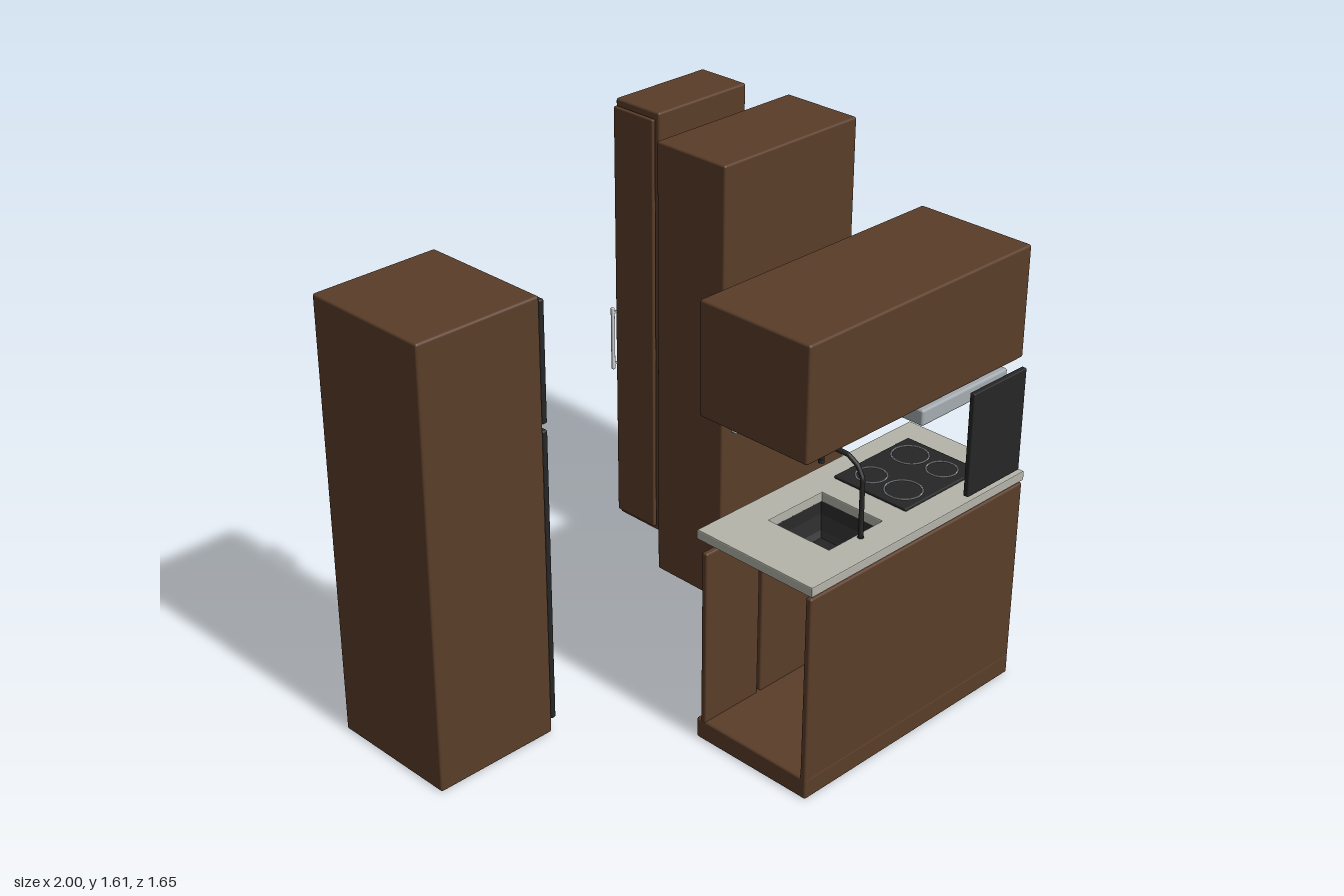
import * as THREE from 'three';
import { RoundedBoxGeometry } from 'three/addons/geometries/RoundedBoxGeometry.js';

const mat = (color) => new THREE.MeshStandardMaterial({ color });
const wood = mat(0x5a3d29), dark = mat(0x262626), navy = mat(0x1e2533);
const steel = mat(0xa4abb0), glass = mat(0xc0c8cc), stone = mat(0xb4b4aa), metal = mat(0xcccccc);

export function createModel() {
  const root = new THREE.Group();

  const group = (name) => {
    const g = new THREE.Group();
    g.name = name;
    root.add(g);
    return g;
  };
  const add = (parent, name, geometry, material) => {
    const m = new THREE.Mesh(geometry, material);
    m.name = name;
    parent.add(m);
    return m;
  };
  // box from its limits, with a softened edge
  const box = (parent, name, material, x0, x1, y0, y1, z0, z1, r = 0.008) => {
    const w = x1 - x0, h = y1 - y0, d = z1 - z0;
    const radius = Math.min(r, Math.min(w, h, d) * 0.3);
    const m = add(parent, name, new RoundedBoxGeometry(w, h, d, 2, radius), material);
    m.position.set((x0 + x1) / 2, (y0 + y1) / 2, (z0 + z1) / 2);
    return m;
  };

  // Refrigerator with doors facing +x
  const fridge = group('refrigerator');
  box(fridge, 'fridgeCabinet', wood, -1, -0.548, 0.005, 1.525, -0.445, 0.025);
  for (const [y0, y1, h] of [[0.045, 1.078, 0.845], [1.1, 1.505, 1.27]]) {
    box(fridge, 'fridgeDoor', dark, -0.542, -0.523, y0, y1, -0.437, 0.017);
    box(fridge, 'fridgeHandle', metal, -0.519, -0.498, h, h + 0.18, -0.32, -0.304);
    for (const y of [h + 0.03, h + 0.15])
      box(fridge, 'handleMount', metal, -0.526, -0.51, y - 0.006, y + 0.006, -0.318, -0.306);
  }

  // Tall oven column
  const column = group('ovenColumn');
  box(column, 'columnCabinet', wood, 0.378, 1, 0.005, 1.612, -0.445, -0.138);
  box(column, 'ovenRear', dark, 0.42, 0.91, 0.58, 0.92, -0.448, -0.43, 0.002);
  box(column, 'ovenGlass', glass, 0.42, 0.915, 0.65, 0.92, -0.14, -0.113);
  box(column, 'ovenControlPanel', navy, 0.43, 0.907, 0.935, 0.98, -0.14, -0.117);
  box(column, 'drawerFront', wood, 0.372, 0.958, 0.05, 0.335, -0.138, -0.125);
  box(column, 'drawerHandle', metal, 0.53, 0.81, 0.269, 0.283, -0.126, -0.106);

  // Narrow pantry with its door facing -x
  const pantry = group('pantry');
  box(pantry, 'pantryCabinet', wood, 0.557, 0.972, 0.005, 1.612, -0.825, -0.617);
  box(pantry, 'pantryDoor', wood, 0.536, 0.552, 0.03, 1.59, -0.815, -0.628);
  box(pantry, 'pantryHandle', metal, 0.514, 0.526, 0.61, 0.85, -0.82, -0.808);
  for (const y of [0.63, 0.83])
    box(pantry, 'handleMount', metal, 0.52, 0.54, y - 0.005, y + 0.005, -0.818, -0.81);

  // Counter base: front panel, plinth and four doors on the rear side
  const base = group('counterBase');
  box(base, 'frontPanel', wood, -0.24, 0.742, 0.005, 0.722, 0.802, 0.825);
  box(base, 'plinth', wood, -0.24, 0.742, 0.005, 0.078, 0.362, 0.826);
  for (let i = 0; i < 4; i++) {
    const x0 = -0.24 + i * 0.2485, x1 = x0 + 0.2365;
    box(base, 'baseDoor', wood, x0, x1, 0.07, 0.692, 0.38, 0.402);
    box(base, 'baseDoorHandle', metal, x0 + 0.02, x1 - 0.02, 0.624, 0.638, 0.362, 0.374);
    for (const x of [x0 + 0.04, x1 - 0.04])
      box(base, 'handleMount', metal, x - 0.005, x + 0.005, 0.626, 0.636, 0.37, 0.383);
  }
  box(base, 'appliancePanel', navy, -0.2, -0.04, 0.52, 0.602, 0.367, 0.383);
  box(base, 'applianceWindow', glass, -0.2, -0.04, 0.19, 0.287, 0.367, 0.383);

  // Worktop with a cut-out for the sink
  const counter = group('worktop');
  const shape = new THREE.Shape();
  shape.moveTo(-0.238, 0.364).lineTo(0.74, 0.364).lineTo(0.74, 0.824).lineTo(-0.238, 0.824).closePath();
  const hole = new THREE.Path();
  hole.moveTo(-0.05, 0.47).lineTo(-0.05, 0.72).lineTo(0.196, 0.72).lineTo(0.196, 0.47).closePath();
  shape.holes.push(hole);
  const slab = add(counter, 'worktopSlab', new THREE.ExtrudeGeometry(shape, {
    depth: 0.026, bevelThickness: 0.004, bevelSize: 0.003, bevelSegments: 2,
  }), stone);
  slab.rotation.x = Math.PI / 2;
  slab.position.y = 0.76;

  // Tapered four-sided sink bowl
  const profile = [[0, 0.626], [0.7, 0.626], [0.79, 0.645], [0.92, 0.69], [1, 0.758]]
    .map(([r, y]) => new THREE.Vector2(r * Math.SQRT2, y));
  const bowl = add(counter, 'sinkBowl', new THREE.LatheGeometry(profile, 4, Math.PI / 4),
    new THREE.MeshStandardMaterial({ color: 0x262626, flatShading: true, side: THREE.DoubleSide }));
  bowl.scale.set(0.125, 1, 0.13);
  bowl.position.set(0.073, 0, 0.595);
  const drain = add(counter, 'sinkDrain', new THREE.CylinderGeometry(0.02, 0.02, 0.004, 20), steel);
  drain.position.set(0.073, 0.629, 0.595);

  // Faucet
  const path = new THREE.CurvePath();
  const pts = [[0.755, 0.736], [0.965, 0.734], [1.0, 0.715], [1.023, 0.675], [1.023, 0.615], [1.0, 0.575], [0.955, 0.57]]
    .map(([y, z]) => new THREE.Vector3(0.073, y, z));
  for (let i = 1; i < pts.length; i++) path.add(new THREE.LineCurve3(pts[i - 1], pts[i]));
  add(counter, 'faucetSpout', new THREE.TubeGeometry(path, 48, 0.008, 12), dark);
  for (const p of [pts[0], pts[6]]) {
    const end = add(counter, 'faucetCollar', new THREE.CylinderGeometry(0.01, 0.01, 0.012, 16), dark);
    end.position.copy(p).y += 0.006;
  }

  // Hob with heating rings
  box(counter, 'hobPlate', dark, 0.285, 0.64, 0.756, 0.773, 0.44, 0.732, 0.004);
  [[0.37, 0.52, 0.05], [0.555, 0.52, 0.06], [0.37, 0.65, 0.06], [0.555, 0.65, 0.05]].forEach(([x, z, r]) => {
    const ring = add(counter, 'heatingRing', new THREE.TorusGeometry(r, 0.0025, 6, 32), steel);
    ring.rotation.x = Math.PI / 2;
    ring.position.set(x, 0.773, z);
  });

  // Wall cabinet and its small handles
  const upper = group('wallCabinet');
  box(upper, 'wallCabinetBody', wood, -0.24, 0.742, 1.15, 1.526, 0.363, 0.79);
  for (let i = 0; i < 4; i++) {
    const x = -0.117 + i * 0.2485;
    box(upper, 'wallCabinetHandle', metal, x - 0.045, x + 0.045, 1.215, 1.225, 0.357, 0.366);
  }

  // Extractor hood with slatted filter
  const hood = group('extractorHood');
  box(hood, 'hoodBody', steel, 0.262, 0.662, 1.088, 1.142, 0.363, 0.795);
  box(hood, 'hoodLower', steel, 0.288, 0.638, 1.056, 1.086, 0.363, 0.657);
  box(hood, 'hoodFilter', dark, 0.31, 0.616, 1.051, 1.06, 0.385, 0.635, 0.002);
  for (let i = 0; i < 8; i++) {
    const x = 0.33 + i * 0.038;
    box(hood, 'filterSlat', steel, x - 0.008, x + 0.008, 1.047, 1.053, 0.395, 0.625, 0.002);
  }

  // Ribbed splash panel behind the hob
  const splash = group('splashPanel');
  box(splash, 'splashPlate', dark, 0.465, 0.717, 0.778, 1.134, 0.807, 0.826, 0.004);
  for (let i = 0; i < 6; i++) {
    const y = 0.832 + i * 0.048;
    box(splash, 'splashRib', dark, 0.475, 0.707, y - 0.004, y + 0.004, 0.801, 0.81, 0.002);
  }
  return root;
}
